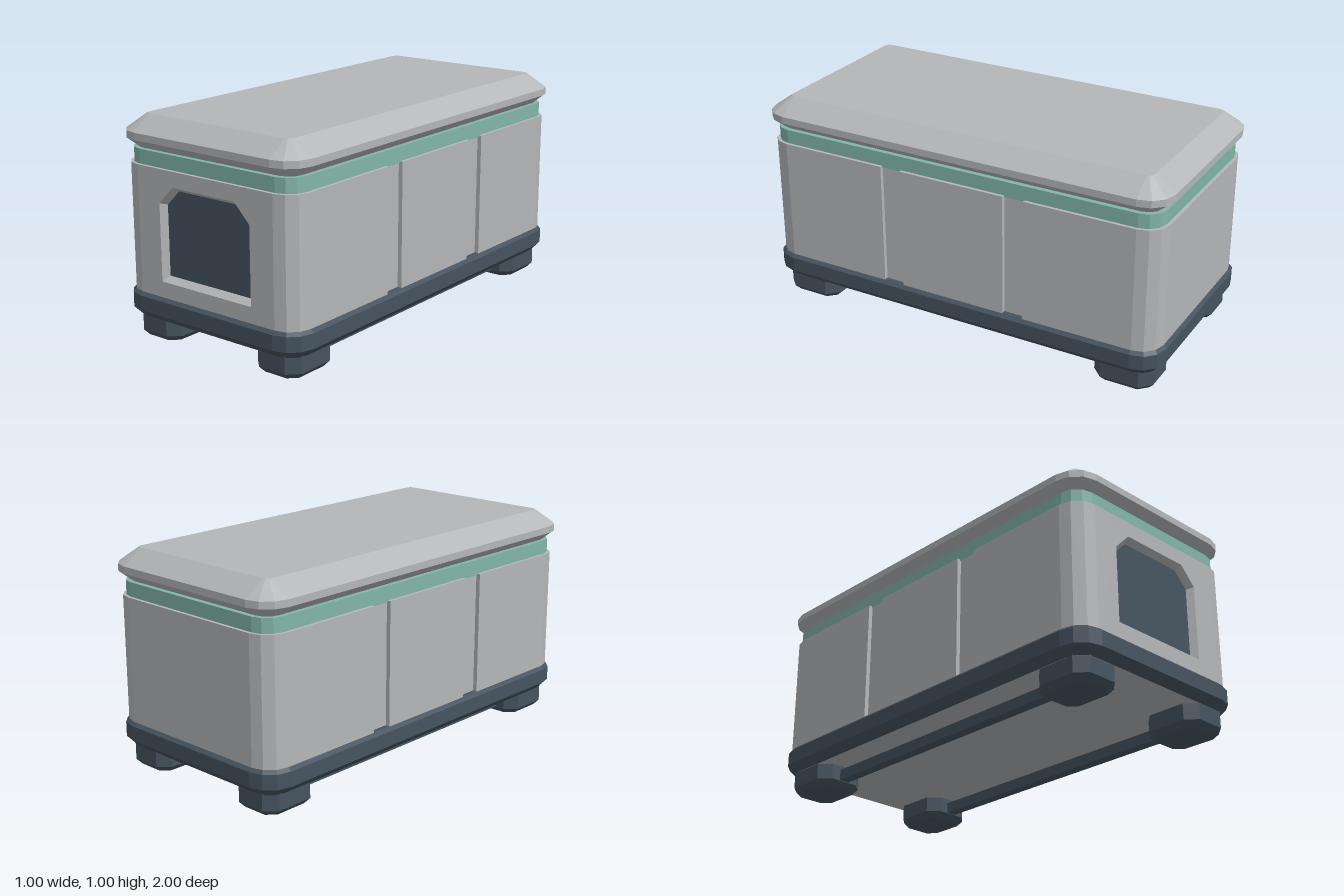
import * as THREE from 'three';

const grey = new THREE.MeshStandardMaterial({ color: 0xb4b6b8 });
grey.name = 'light grey';
const navy = new THREE.MeshStandardMaterial({ color: 0x45535f });
navy.name = 'dark slate';
const teal = new THREE.MeshStandardMaterial({ color: 0x82b5a9 });
teal.name = 'teal';

// Rectangle with rounded corners as [x, z] points; optional grooves cut into the long sides
function footprint(hx, hz, r, steps = 3, groove = 0) {
  const pts = [];
  [[1, 1], [-1, 1], [-1, -1], [1, -1]].forEach(([sx, sz], corner) => {
    for (let i = 0; i <= steps; i++) {
      const a = (corner + i / steps) * Math.PI / 2;
      pts.push([sx * (hx - r) + r * Math.cos(a), sz * (hz - r) + r * Math.sin(a)]);
    }
    if (groove && corner % 2 === 1) {
      const zs = [-0.36, -0.26, 0.26, 0.36];
      for (const z of zs) {
        const outer = [sx * hx, sx * z], inner = [sx * (hx - groove), sx * z];
        const entering = z === -0.36 || z === 0.26;
        pts.push(...(entering ? [outer, inner] : [inner, outer]));
      }
    }
  });
  return pts;
}

const ringAt = (pts, y) => pts.map(([x, z]) => [x, y, z]);

// Flat-faced skin between successive closed rings of [x, y, z] points
function loft(rings, skipEdge = -1) {
  const pos = [];
  for (let k = 0; k < rings.length - 1; k++) {
    const n = rings[k].length;
    for (let i = 0; i < n; i++) {
      if (i === skipEdge) continue;
      const j = (i + 1) % n;
      const a = rings[k][i], b = rings[k][j], c = rings[k + 1][j], d = rings[k + 1][i];
      pos.push(...a, ...d, ...c, ...a, ...c, ...b);
    }
  }
  const g = new THREE.BufferGeometry();
  g.setAttribute('position', new THREE.Float32BufferAttribute(pos, 3));
  g.computeVertexNormals();
  return g;
}

const shapeOf = (pts) => new THREE.Shape(pts.map(([x, y]) => new THREE.Vector2(x, y)));

// Horizontal lid over a footprint, facing up or down
function cap(pts, y, up = true) {
  const s = up ? -1 : 1;
  const g = new THREE.ShapeGeometry(shapeOf(pts.map(([x, z]) => [x, s * z])));
  return g.rotateX(s * Math.PI / 2).translate(0, y, 0);
}

function add(parent, name, geometry, material) {
  const mesh = new THREE.Mesh(geometry, material);
  mesh.name = name;
  parent.add(mesh);
  return mesh;
}

// Levels are [y, inset] pairs, measured from the 1 x 2 outline
function layer(levels) {
  return levels.map(([y, inset]) => ringAt(footprint(0.5 - inset, 1 - inset, 0.12 - inset), y));
}

// Window outline with the two upper corners cut, counter-clockwise
function windowOutline(w, bottom, top, cutX, cutY) {
  return [[-w, bottom], [w, bottom], [w, cutY], [cutX, top], [-cutX, top], [-w, cutY]];
}

export function createModel() {
  const model = new THREE.Group();
  model.name = 'storageUnit';

  // Base tray with a grey floor
  add(model, 'base', loft(layer([[0.1, 0.037], [0.137, 0], [0.205, 0], [0.222, 0.017]])), navy);
  add(model, 'baseTop', cap(footprint(0.483, 0.983, 0.103), 0.222), navy);
  add(model, 'floor', cap(footprint(0.463, 0.963, 0.083), 0.1, false), grey);

  // Body walls with vertical grooves; the front flat is a separate panel with an opening
  const y0 = 0.22, y1 = 0.792, front = 0.985, back = 0.955;
  const plan = footprint(0.485, front, 0.105, 3, 0.02);
  const body = new THREE.Group();
  body.name = 'body';
  model.add(body);
  add(body, 'walls', loft([ringAt(plan, y0), ringAt(plan, y1)], 3), grey);
  add(body, 'bodyTop', cap(plan, y1), grey);

  const outer = windowOutline(0.255, 0.292, 0.722, 0.175, 0.642);
  const inner = windowOutline(0.235, 0.315, 0.702, 0.165, 0.632);
  const panel = shapeOf([[-0.38, y0], [0.38, y0], [0.38, y1], [-0.38, y1]]);
  panel.holes.push(shapeOf(outer));
  add(body, 'frontPanel', new THREE.ShapeGeometry(panel).translate(0, 0, front), grey);
  const ringZ = (pts, z) => pts.map(([x, y]) => [x, y, z]);
  add(body, 'windowBevel', loft([ringZ(inner, back), ringZ(outer, front)]), grey);
  add(body, 'windowPane', new THREE.ShapeGeometry(shapeOf(inner)).translate(0, 0, back), navy);

  // Coloured band under the lid
  add(model, 'band', loft(layer([[0.785, 0.03], [0.857, 0.03]])), teal);
  add(model, 'bandTop', cap(footprint(0.47, 0.97, 0.09), 0.857), teal);

  // Bevelled lid
  add(model, 'lid', loft(layer([[0.85, 0.062], [0.9, 0], [0.932, 0], [1, 0.095]])), grey);
  add(model, 'lidTop', cap(footprint(0.405, 0.905, 0.025), 1), grey);

  // Four octagonal feet and the rails joining them front to back
  const footRing = (inset, y) => ringAt(footprint(0.12 - inset, 0.14 - inset, 0.05 - inset / 2, 1), y);
  const footSide = loft([footRing(0.025, 0), footRing(0, 0.027), footRing(0, 0.105)]);
  const footSole = cap(footprint(0.095, 0.115, 0.0375, 1), 0, false);
  for (const sx of [1, -1]) {
    const side = sx > 0 ? 'left' : 'right';
    for (const sz of [1, -1]) {
      const foot = new THREE.Group();
      foot.name = side + (sz > 0 ? 'FrontFoot' : 'BackFoot');
      add(foot, 'footBlock', footSide, navy);
      add(foot, 'footSole', footSole, navy);
      foot.position.set(sx * 0.34, 0, sz * 0.82);
      model.add(foot);
    }
    const rail = add(model, side + 'Rail', new THREE.BoxGeometry(0.05, 0.05, 1.4), navy);
    rail.position.set(sx * 0.34, 0.055, 0);
  }
  return model;
}
